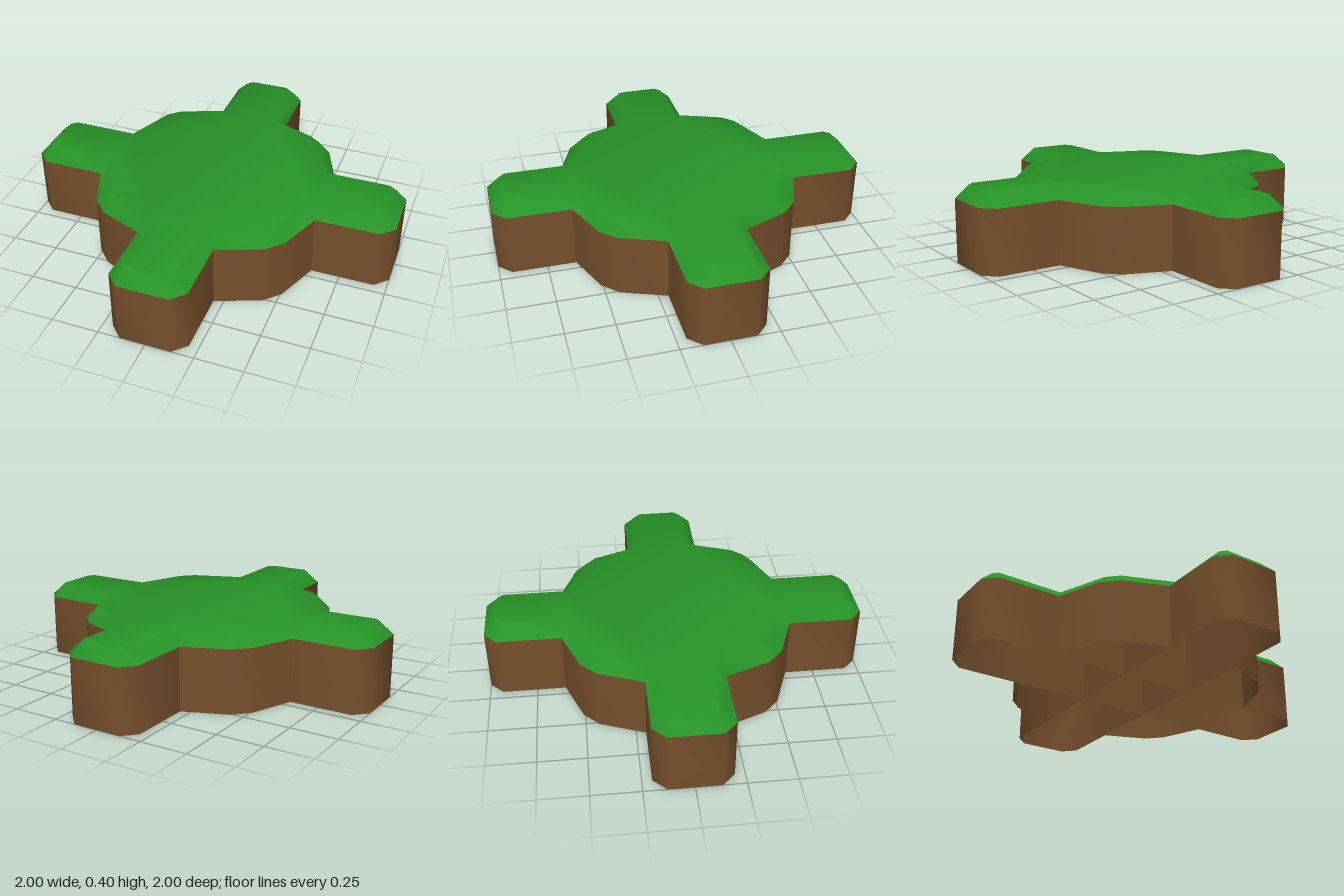
import * as THREE from 'three';
import { toCreasedNormals } from 'three/addons/utils/BufferGeometryUtils.js';

const LIP = 0.333, TOP = 0.4, BEVEL = 0.067;

// One quarter of the ground plan (x, z): arm tip, arm side, rounded body corner
const QUARTER = [[1, -0.133], [1, 0.133], [0.933, 0.2], [0.6, 0.2],
  [0.51, 0.43], [0.43, 0.51], [0.2, 0.6], [0.2, 0.933]];

function rotate([x, z], turns) {
  for (let i = 0; i < turns; i++) [x, z] = [-z, x];
  return new THREE.Vector2(x, z);
}

// Mitred inward offset of a closed plan
function inset(points, distance) {
  const n = points.length;
  const normal = (a, b) => {
    const d = b.clone().sub(a).normalize();
    return new THREE.Vector2(-d.y, d.x);
  };
  return points.map((p, i) => {
    const n1 = normal(points[(i + n - 1) % n], p);
    const n2 = normal(p, points[(i + 1) % n]);
    const m = n1.clone().add(n2);
    return m.multiplyScalar(distance / (1 + n1.dot(n2))).add(p);
  });
}

// Strip of quads between two plans at two heights
function strip(lower, y0, upper, y1, closed = true) {
  const out = [];
  const count = closed ? lower.length : lower.length - 1;
  for (let i = 0; i < count; i++) {
    const j = (i + 1) % lower.length;
    const a = [lower[i].x, y0, lower[i].y], b = [lower[j].x, y0, lower[j].y];
    const c = [upper[j].x, y1, upper[j].y], d = [upper[i].x, y1, upper[i].y];
    out.push(...a, ...d, ...c, ...a, ...c, ...b);
  }
  return out;
}

function makeMesh(name, positions, material) {
  const geometry = new THREE.BufferGeometry();
  geometry.setAttribute('position', new THREE.Float32BufferAttribute(positions, 3));
  const mesh = new THREE.Mesh(toCreasedNormals(geometry, 0.9), material);
  mesh.name = name;
  return mesh;
}

export function createModel() {
  const group = new THREE.Group();
  group.name = 'groundTile';
  const grass = new THREE.MeshStandardMaterial({ color: 0x279327, side: THREE.DoubleSide });
  const dirt = new THREE.MeshStandardMaterial({ color: 0x76502c, side: THREE.DoubleSide });

  const plan = [];
  for (let q = 0; q < 4; q++) plan.push(...QUARTER.map((p) => rotate(p, q)));

  // Dirt sides, open underneath
  group.add(makeMesh('dirtSides', strip(plan, 0, plan, LIP), dirt));

  // Grass: sloping rim and flat top
  const topPlan = inset(plan, BEVEL);
  const turf = strip(plan, LIP, topPlan, TOP);
  for (const [a, b, c] of THREE.ShapeUtils.triangulateShape(topPlan, [])) {
    for (const k of [a, c, b]) turf.push(topPlan[k].x, TOP, topPlan[k].y);
  }
  group.add(makeMesh('grassTop', turf, grass));

  // Inner dirt walls that divide the hollow underside into cells
  const walls = [];
  for (let q = 0; q < 4; q++) {
    const cell = [[0.2, 0.6], [0.2, 0.2], [0.6, 0.2]].map((p) => rotate(p, q));
    const side = [[0.2, -0.2], [0.2, 0.2]].map((p) => rotate(p, q));
    walls.push(...strip(cell, 0, cell, LIP, false), ...strip(side, 0, side, LIP, false));
  }
  group.add(makeMesh('innerWalls', walls, dirt));

  return group;
}
